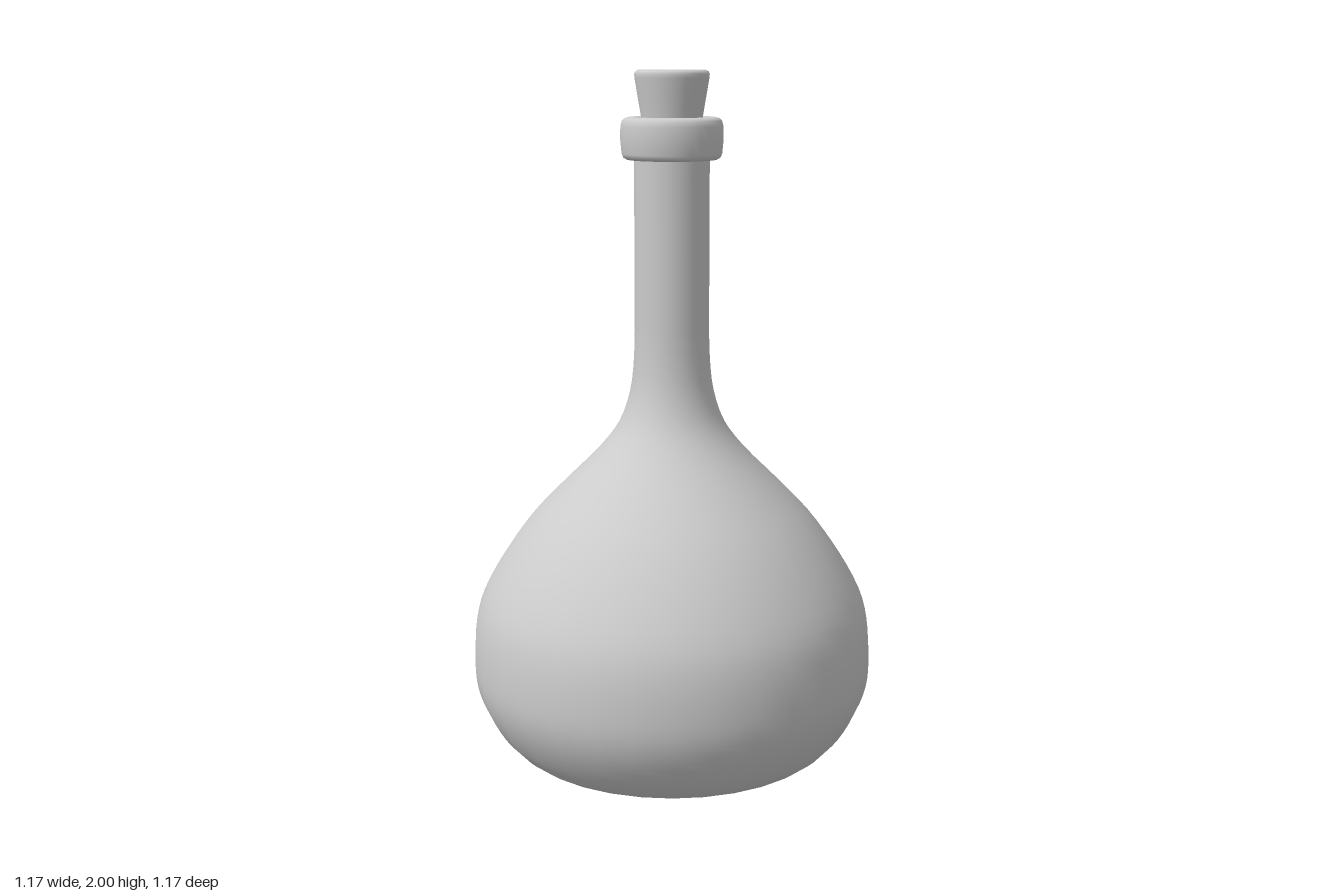
import * as THREE from 'three';

const SIDES = 32;
const material = new THREE.MeshStandardMaterial({ color: 0xcccccc, side: THREE.DoubleSide });
const toPoints = (list) => list.map(([x, y]) => new THREE.Vector2(x, y));

// Turn a profile (radius, height), listed from bottom to top
function turned(name, points) {
  const mesh = new THREE.Mesh(new THREE.LatheGeometry(points, SIDES), material);
  mesh.name = name;
  return mesh;
}

export function createModel() {
  const group = new THREE.Group();
  group.name = 'corkedBottle';

  // Flat base, round belly, shoulder flowing into a straight neck
  const belly = new THREE.SplineCurve(toPoints([
    [0.4, 0.005], [0.45, 0.022], [0.505, 0.07], [0.553, 0.145], [0.58, 0.22], [0.587, 0.3],
    [0.58, 0.4], [0.555, 0.49], [0.495, 0.6], [0.415, 0.71], [0.32, 0.81], [0.215, 0.915],
    [0.152, 1.0], [0.121, 1.09], [0.11, 1.18], [0.107, 1.27],
  ])).getPoints(45);
  group.add(turned('bottleBody', [
    ...toPoints([[0, 0], [0.36, 0]]), ...belly, ...toPoints([[0.107, 1.5], [0.107, 1.77]]),
  ]));

  // Rounded collar around the mouth, open in the middle
  group.add(turned('collar', toPoints([
    [0.1, 1.752], [0.128, 1.752], [0.137, 1.757], [0.142, 1.768], [0.146, 1.81],
    [0.145, 1.845], [0.141, 1.86], [0.134, 1.867], [0.122, 1.87], [0.1, 1.87],
    [0.092, 1.866], [0.088, 1.855], [0.087, 1.8],
  ])));

  // Tapered stopper with a softened top rim
  group.add(turned('stopper', toPoints([
    [0, 1.78], [0.074, 1.78], [0.086, 1.865], [0.097, 1.93], [0.105, 1.978],
    [0.106, 1.989], [0.103, 1.996], [0.095, 2.0], [0.08, 2.0], [0, 2.0],
  ])));

  return group;
}
